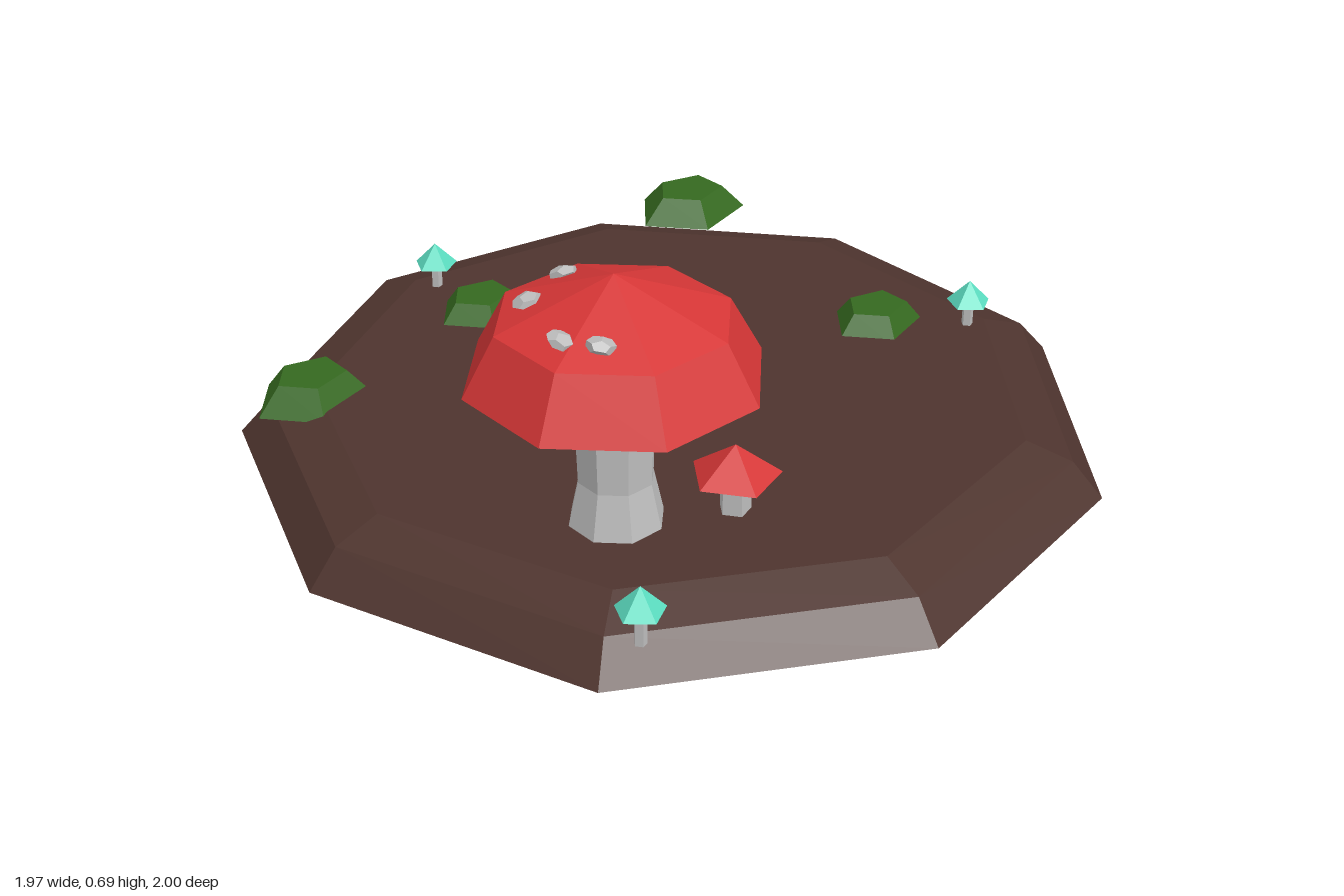
import * as THREE from 'three';

const paint = (name, color) => {
  const m = new THREE.MeshStandardMaterial({ color, flatShading: true });
  m.name = name;
  return m;
};

export function createModel() {
  const model = new THREE.Group();
  model.name = 'mushroomIsland';

  const soil = paint('soilBrown', 0x4e342e);
  const red = paint('capRed', 0xd63636);
  const grey = paint('stemGrey', 0xbdbdbd);
  const teal = paint('glowTeal', 0x5bdcc0);
  const green = paint('mossGreen', 0x35691f);

  // Faceted solid from [radius, y] pairs listed from bottom to top
  const solid = (parent, name, material, profile, sides, start, x = 0, z = 0) => {
    const points = profile.map(([r, y]) => new THREE.Vector2(r, y));
    const mesh = new THREE.Mesh(new THREE.LatheGeometry(points, sides, start), material);
    mesh.name = name;
    mesh.position.set(x, 0, z);
    parent.add(mesh);
    return mesh;
  };
  const group = (name, x, z) => {
    const g = new THREE.Group();
    g.name = name;
    g.position.set(x, 0, z);
    model.add(g);
    return g;
  };
  const LEFT = -Math.PI / 2; // first corner points to -x

  // Ground slab with a two-step bevel
  solid(model, 'ground', soil,
    [[0, 0], [1.015, 0], [0.943, 0.082], [0.835, 0.117], [0, 0.117]], 9, LEFT, 0.03, 0);

  // Large mushroom
  const big = group('largeMushroom', -0.435, 0.345);
  solid(big, 'largeStem', grey,
    [[0, 0.1], [0.109, 0.1], [0.083, 0.22], [0.09, 0.43], [0, 0.43]], 8, Math.PI / 8);
  solid(big, 'largeCap', red,
    [[0, 0.422], [0.207, 0.422], [0.32, 0.466], [0.25, 0.595], [0, 0.693]], 8, Math.PI / 8);

  // Pale warts lying on the cap's upper slope
  const warts = [[-0.118, -0.131], [0.015, -0.178], [-0.171, 0.044], [-0.129, 0.113]];
  warts.forEach(([x, z], i) => {
    const wart = new THREE.Mesh(new THREE.DodecahedronGeometry(0.032), grey);
    wart.name = 'capWart';
    wart.scale.set(1, 0.5, 1);
    wart.position.set(x, 0.695 - 0.41 * Math.hypot(x, z), z);
    wart.rotation.set(z * 2, i * 1.3, -x * 2);
    big.add(wart);
  });

  // Small red mushroom
  const small = group('smallMushroom', -0.228, 0.488);
  solid(small, 'smallStem', grey, [[0, 0.1], [0.036, 0.1], [0.034, 0.21], [0, 0.21]], 5, LEFT);
  solid(small, 'smallCap', red, [[0, 0.204], [0.101, 0.204], [0, 0.277]], 5, LEFT);

  // Tiny teal mushrooms
  [[-0.668, 0.688], [-0.09, -0.763], [0.765, 0.274]].forEach(([x, z]) => {
    const tiny = group('tinyMushroom', x, z);
    solid(tiny, 'tinyStem', grey, [[0, 0.1], [0.014, 0.1], [0.014, 0.185], [0, 0.185]], 5, LEFT);
    solid(tiny, 'tinyCap', teal, [[0, 0.178], [0.054, 0.178], [0, 0.235]], 5, LEFT + 0.2);
  });

  // Moss mounds: x, z, radius along x
  [[-0.624, -0.524, 0.146], [-0.085, -0.579, 0.134], [0.72, -0.694, 0.161], [0.608, 0.114, 0.134]]
    .forEach(([x, z, r]) => {
      const moss = solid(model, 'mossMound', green,
        [[0, 0.1], [r, 0.1], [r * 0.6, 0.164], [0, 0.164]], 5, LEFT, x, z);
      moss.scale.z = 0.85;
    });

  return model;
}
